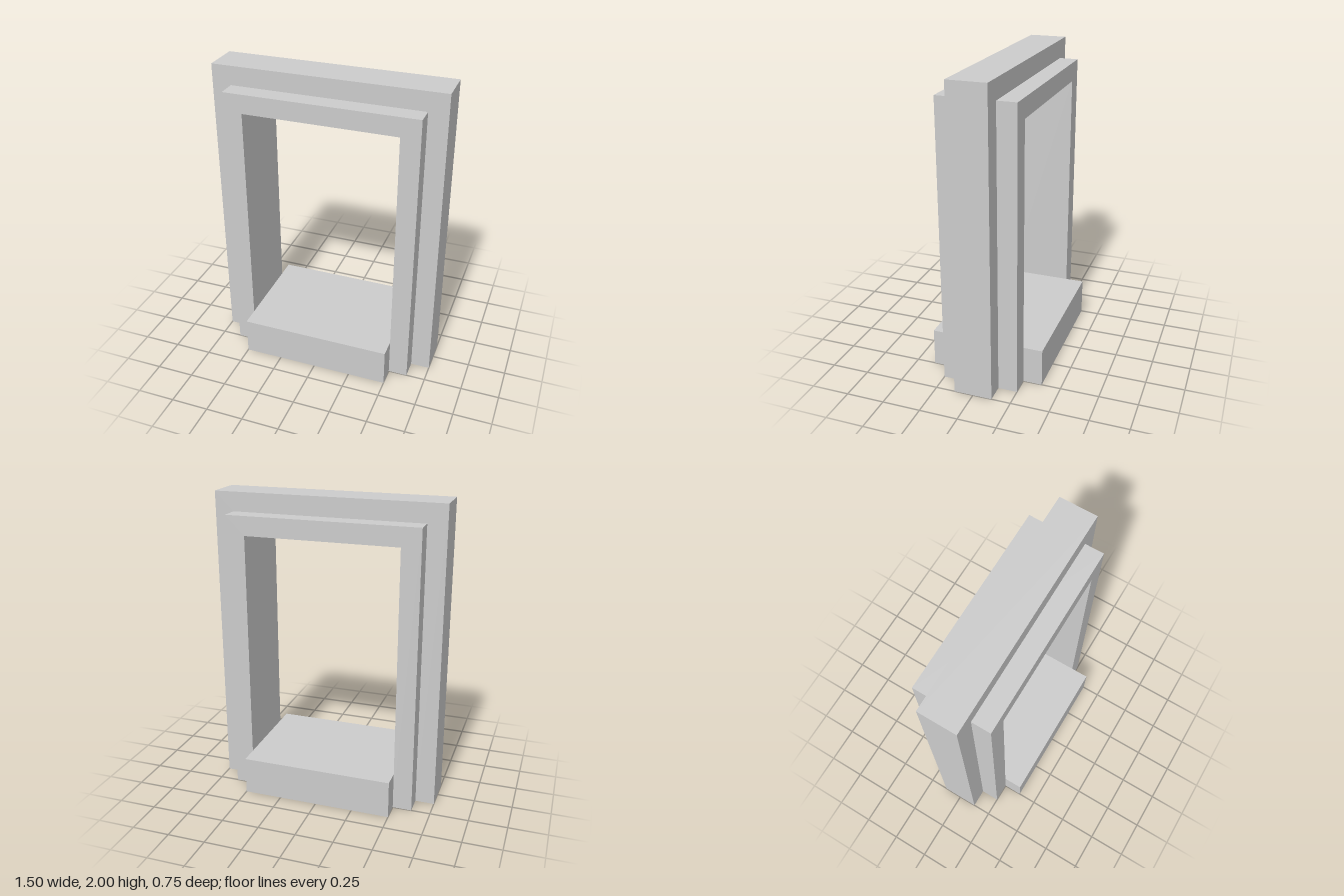
import * as THREE from 'three';

const material = new THREE.MeshStandardMaterial({ color: 0xcccccc });

// Upside-down U standing on the ground, extruded evenly about z = 0
function archway(name, outerHalf, outerTop, innerHalf, innerTop, depth) {
  const shape = new THREE.Shape([
    [-outerHalf, 0], [-innerHalf, 0], [-innerHalf, innerTop], [innerHalf, innerTop],
    [innerHalf, 0], [outerHalf, 0], [outerHalf, outerTop], [-outerHalf, outerTop],
  ].map(([x, y]) => new THREE.Vector2(x, y)));
  const geometry = new THREE.ExtrudeGeometry(shape, { depth, bevelEnabled: false });
  geometry.translate(0, 0, -depth / 2);
  const mesh = new THREE.Mesh(geometry, material);
  mesh.name = name;
  return mesh;
}

export function createModel() {
  const group = new THREE.Group();
  group.name = 'doorFrame';

  // Wide, shallow surround and the narrower, deeper lining nested inside it
  group.add(archway('outerFrame', 0.75, 2, 0.625, 1.875, 0.25));
  group.add(archway('innerFrame', 0.625, 1.875, 0.5, 1.75, 0.5));

  // Threshold block filling the foot of the opening and projecting front and back
  const sill = new THREE.Mesh(new THREE.BoxGeometry(1, 0.25, 0.75), material);
  sill.name = 'threshold';
  sill.position.y = 0.125;
  group.add(sill);

  return group;
}
